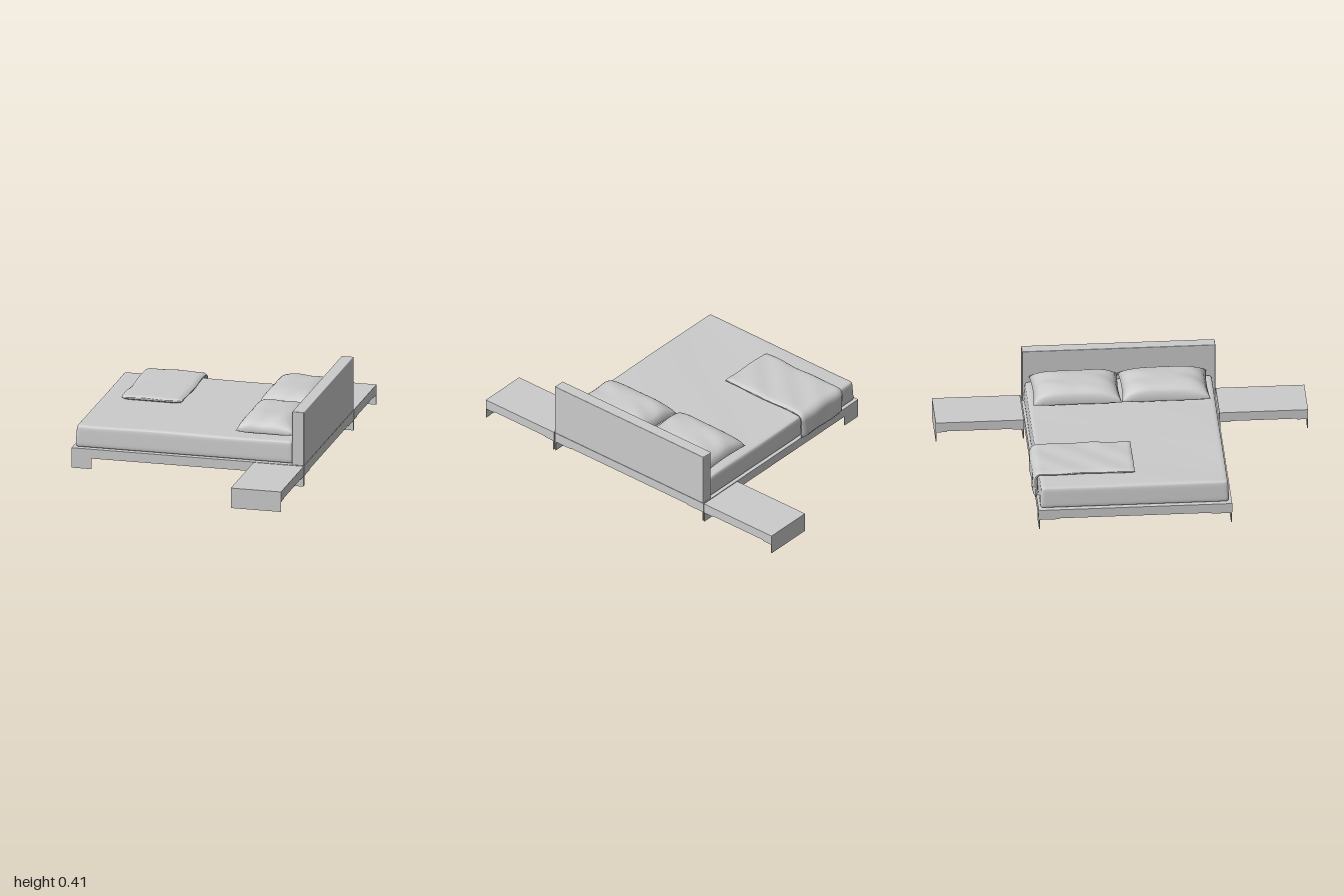
import * as THREE from 'three';
import { mergeVertices } from 'three/addons/utils/BufferGeometryUtils.js';
import { RoundedBoxGeometry } from 'three/addons/geometries/RoundedBoxGeometry.js';

const material = new THREE.MeshStandardMaterial({ color: 0xcccccc });

function add(parent, name, geometry) {
  const mesh = new THREE.Mesh(geometry, material);
  mesh.name = name;
  parent.add(mesh);
  return mesh;
}

// Box given by its extents; a radius softens its edges
function block(parent, name, [x0, x1], [y0, y1], [z0, z1], radius = 0) {
  const size = [x1 - x0, y1 - y0, z1 - z0];
  const geo = radius ? new RoundedBoxGeometry(...size, 4, radius) : new THREE.BoxGeometry(...size);
  const mesh = add(parent, name, geo);
  mesh.position.set((x0 + x1) / 2, (y0 + y1) / 2, (z0 + z1) / 2);
  return mesh;
}

// Unit box grid whose vertices (-1..1 each way) are moved by a rule, then smoothed
function softBox(nx, ny, nz, rule) {
  const geo = new THREE.BoxGeometry(2, 2, 2, nx, ny, nz);
  const pos = geo.attributes.position;
  for (let i = 0; i < pos.count; i++) {
    pos.setXYZ(i, ...rule(pos.getX(i), pos.getY(i), pos.getZ(i)));
  }
  geo.deleteAttribute('uv');
  geo.deleteAttribute('normal');
  const smooth = mergeVertices(geo, 1e-5);
  smooth.computeVertexNormals();
  return smooth;
}

// L-shaped bracket: an upright plate and a flat flange under the frame
function bracket(parent, name, xs, z, inward, flange) {
  const leg = new THREE.Group();
  leg.name = name;
  const span = (a, b) => [Math.min(a, b), Math.max(a, b)];
  block(leg, 'legPlate', xs, [0, 0.06], span(z, z + inward * 0.005));
  block(leg, 'legFlange', xs, [0.055, 0.06], span(z, z + inward * flange));
  parent.add(leg);
}

// Pillow with pinched seam, drawn-out corners and shallow creases
function pillowGeometry(phase) {
  return softBox(28, 2, 36, (u, v, w) => {
    const fill = Math.pow(Math.max(0, (1 - u ** 4) * (1 - w ** 4)), 0.55);
    const x = u * 0.163 * (1 - 0.07 * (1 - w * w));
    const z = w * 0.238 * (1 - 0.04 * (1 - u * u));
    const crease = 0.004 * Math.sin(7 * u + 4 * w + phase) * Math.abs(w) * fill;
    const top = 0.073 * fill * (1 - 0.08 * u) + crease;
    const y = v > 0 ? v * top : v * 0.03 * fill;
    return [x, y, z];
  });
}

// Throw lying across the mattress and hanging down over its edge
function throwGeometry() {
  const flat = 0.502, r = 0.03, drop = 0.105;
  const arc = (Math.PI / 2) * r, total = flat + arc + drop;
  return softBox(24, 4, 60, (u, v, w) => {
    const s = ((1 - w) / 2) * total;
    const edge = Math.sqrt(Math.max(0, 1 - Math.abs(u) ** 10)) * 0.75 + 0.25;
    const end = 0.4 + 0.6 * Math.sqrt(Math.max(0, 1 - Math.abs(w) ** 30));
    const ripple = 0.002 * Math.sin(5 * u + 9 * w);
    const off = v * 0.014 * edge * end + (v > 0 ? ripple : 0);
    let z, y, a = 0;
    if (s < flat) {
      z = -s; y = 0;
    } else if (s < flat + arc) {
      a = (s - flat) / r;
      z = -flat - r * Math.sin(a); y = -r + r * Math.cos(a);
    } else {
      a = Math.PI / 2;
      z = -flat - r; y = -r - (s - flat - arc);
    }
    const x = u * 0.168 + 0.003 * Math.sin(6 * w);
    return [x, y + off * Math.cos(a), z - off * Math.sin(a)];
  });
}

export function createModel() {
  const model = new THREE.Group();
  model.name = 'bed';

  // Platform and headboard
  block(model, 'platform', [-0.645, 0.643], [0.06, 0.112], [-0.523, 0.517]);
  block(model, 'headboard', [0.577, 0.643], [0.112, 0.412], [-0.521, 0.518], 0.004);

  // Platform legs
  for (const [z, inward] of [[0.515, -1], [-0.521, 1]]) {
    bracket(model, 'footLeg', [-0.645, -0.535], z, inward, 0.11);
    bracket(model, 'headLeg', [0.533, 0.643], z, inward, 0.11);
  }

  // Low side tables
  for (const side of [1, -1]) {
    const table = new THREE.Group();
    table.name = side > 0 ? 'frontSideTable' : 'backSideTable';
    const zs = side > 0 ? [0.524, 1] : [-1, -0.527];
    block(table, 'tableTop', [0.365, 0.643], [0.06, 0.112], zs);
    bracket(table, 'tableLeg', [0.365, 0.643], zs[0], 1, 0.06);
    bracket(table, 'tableLeg', [0.365, 0.643], zs[1], -1, 0.06);
    model.add(table);
  }

  // Mattress: slightly tapered sides, rounded edges, gently uneven top
  const mattress = add(model, 'mattress', softBox(40, 10, 40, (u, v, w) => {
    // crowd grid lines toward the edges, then round them
    const spread = (t) => Math.sin(t * Math.PI / 2);
    const p = [spread(u) * 0.602, spread(v) * 0.061, spread(w) * 0.505];
    const half = [0.602, 0.061, 0.505], r = 0.018;
    const core = new THREE.Vector3(...p.map((c, i) =>
      THREE.MathUtils.clamp(c, -half[i] + r, half[i] - r)));
    const out = new THREE.Vector3(...p).sub(core);
    if (out.length() > 0) out.setLength(Math.min(r, Math.max(Math.abs(out.x), Math.abs(out.y), Math.abs(out.z))));
    const q = core.add(out);
    const taper = 1 - 0.006 * (q.y / 0.061);
    const wave = v > 0.5 ? 0.0015 * Math.sin(7 * u + 3 * w) : 0;
    return [q.x * taper, q.y + wave, q.z * taper];
  }));
  mattress.position.set(-0.025, 0.174, -0.005);

  // Pillows
  add(model, 'backPillow', pillowGeometry(0)).position.set(0.408, 0.264, -0.247);
  add(model, 'frontPillow', pillowGeometry(2)).position.set(0.411, 0.264, 0.23);

  // Throw
  add(model, 'throwBlanket', throwGeometry()).position.set(-0.336, 0.251, 0.004);

  return model;
}
